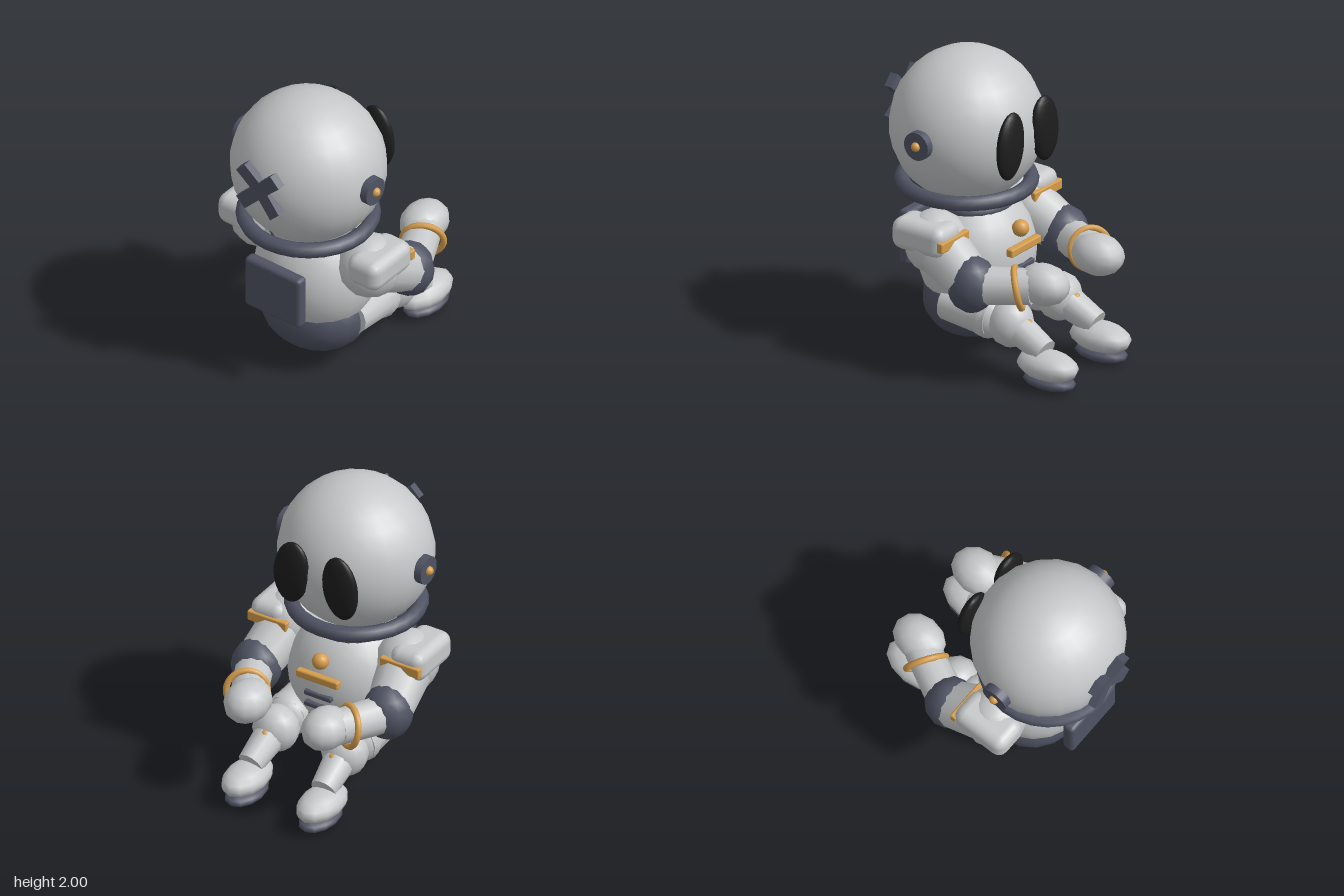
import * as THREE from 'three';
import { RoundedBoxGeometry } from 'three/addons/geometries/RoundedBoxGeometry.js';

const mat = (name, color) => Object.assign(new THREE.MeshStandardMaterial({ color }), { name });

export function createModel() {
  const root = new THREE.Group();
  root.name = 'sittingAstronaut';
  const suit = mat('suitGrey', 0xc6c8c9);
  const slate = mat('slate', 0x4f5363);
  const black = mat('lensBlack', 0x1d1d1d);
  const gold = mat('gold', 0xd59d4c);

  const add = (name, geo, material, pos, parent = root) => {
    const m = new THREE.Mesh(geo, material);
    m.name = name;
    m.position.set(...pos);
    parent.add(m);
    return m;
  };
  const ball = (name, material, pos, size, parent = root, seg = 12) => {
    const m = add(name, new THREE.SphereGeometry(1, seg, Math.round(seg * 0.7)), material, pos, parent);
    m.scale.set(...size);
    return m;
  };
  const Y = new THREE.Vector3(0, 1, 0);
  // tapered limb between two points
  const limb = (name, a, b, ra, rb, parent) => {
    const p = new THREE.Vector3(...a), q = new THREE.Vector3(...b);
    const d = q.clone().sub(p);
    const m = add(name, new THREE.CylinderGeometry(rb, ra, d.length(), 12), suit,
      p.clone().add(q).multiplyScalar(0.5).toArray(), parent);
    m.quaternion.setFromUnitVectors(Y, d.normalize());
    return m;
  };
  const ring = (name, material, pos, r, tube, parent = root) =>
    add(name, new THREE.TorusGeometry(r, tube, 8, 28), material, pos, parent);

  // helmet with its rim and neck
  ball('helmet', suit, [0, 1.5, 0.265], [0.5, 0.5, 0.485], root, 22);
  ring('helmetRim', slate, [0, 1.12, 0.267], 0.405, 0.05).rotation.x = Math.PI / 2;
  add('neck', new THREE.CylinderGeometry(0.3, 0.24, 0.14, 20), suit, [0, 1.03, 0.24]);
  ring('collar', slate, [0, 0.995, 0.23], 0.228, 0.046).rotation.x = Math.PI / 2;

  // cross on the back of the helmet: four slightly raised arms
  const cross = new THREE.Group();
  cross.name = 'cross';
  cross.position.set(0, 1.57, 0.735);
  root.add(cross);
  for (let i = 0; i < 4; i++) {
    const pivot = new THREE.Group();
    pivot.rotation.z = Math.PI / 4 + i * Math.PI / 2;
    const tilt = new THREE.Group();
    tilt.rotation.y = -0.1;
    pivot.add(tilt);
    cross.add(pivot);
    add('crossArm', new THREE.BoxGeometry(0.2, 0.095, 0.055), slate, [0.095, 0, 0], tilt);
  }

  // body
  ball('torso', suit, [0, 0.66, 0.19], [0.4, 0.42, 0.365], root, 20);
  ball('trousers', slate, [0, 0.37, 0.2], [0.37, 0.28, 0.31], root, 18);
  add('backpack', new RoundedBoxGeometry(0.44, 0.37, 0.085, 2, 0.028), slate, [0, 0.7, 0.597]);

  // chest controls
  ball('chestKnob', gold, [0, 0.885, -0.15], [0.055, 0.055, 0.055]);
  add('chestBar', new RoundedBoxGeometry(0.31, 0.055, 0.05, 1, 0.012), gold, [0, 0.77, -0.175]);
  for (const y of [0.64, 0.56])
    add('chestVent', new RoundedBoxGeometry(0.2, 0.035, 0.05, 1, 0.01), slate, [0, y, -0.165]);

  for (const s of [1, -1]) {
    const side = new THREE.Group();
    side.name = s > 0 ? 'leftSide' : 'rightSide';
    root.add(side);

    // eye lens, leaning inward at the top
    ball('eye', black, [s * 0.18, 1.52, -0.203], [0.128, 0.223, 0.053], side, 20).rotation.z = s * 0.1;

    // ear cap and knob
    add('earCap', new THREE.CylinderGeometry(0.093, 0.093, 0.06, 20), slate, [s * 0.505, 1.52, 0.267], side)
      .rotation.z = Math.PI / 2;
    ball('earKnob', gold, [s * 0.536, 1.52, 0.267], [0.031, 0.031, 0.031], side);

    // arm
    ball('shoulder', suit, [s * 0.43, 0.86, 0.19], [0.205, 0.21, 0.205], side);
    add('shoulderPad', new RoundedBoxGeometry(0.25, 0.21, 0.4, 2, 0.07), suit, [s * 0.515, 0.932, 0.205], side);
    add('shoulderBar', new RoundedBoxGeometry(0.29, 0.07, 0.045, 1, 0.01), gold, [s * 0.49, 0.925, 0.013], side);
    limb('upperArm', [s * 0.44, 0.84, 0.15], [s * 0.49, 0.68, -0.12], 0.18, 0.15, side);
    ball('elbow', slate, [s * 0.485, 0.672, -0.13], [0.165, 0.185, 0.16], side);
    limb('forearm', [s * 0.48, 0.67, -0.16], [s * 0.33, 0.69, -0.48], 0.125, 0.115, side);
    const bracelet = ring('bracelet', gold, [s * 0.378, 0.68, -0.41], 0.13, 0.021, side);
    bracelet.quaternion.setFromUnitVectors(new THREE.Vector3(0, 0, 1),
      new THREE.Vector3(-s * 0.54, 0.2, -0.81).normalize());
    ball('hand', suit, [s * 0.287, 0.705, -0.54], [0.145, 0.133, 0.18], side);

    // leg
    limb('thigh', [s * 0.29, 0.395, 0.21], [s * 0.265, 0.375, -0.14], 0.115, 0.14, side);
    ball('thighJoint', suit, [s * 0.265, 0.375, -0.1], [0.145, 0.15, 0.13], side);
    ball('knee', suit, [s * 0.255, 0.362, -0.265], [0.152, 0.157, 0.145], side);
    ball('kneeStud', gold, [s * 0.252, 0.39, -0.395], [0.032, 0.028, 0.03], side);
    limb('shin', [s * 0.255, 0.36, -0.28], [s * 0.27, 0.24, -0.54], 0.11, 0.085, side);
    ball('boot', suit, [s * 0.277, 0.158, -0.565], [0.135, 0.095, 0.222], side);
    ball('sole', slate, [s * 0.273, 0.055, -0.575], [0.115, 0.05, 0.19], side);
  }
  return root;
}
